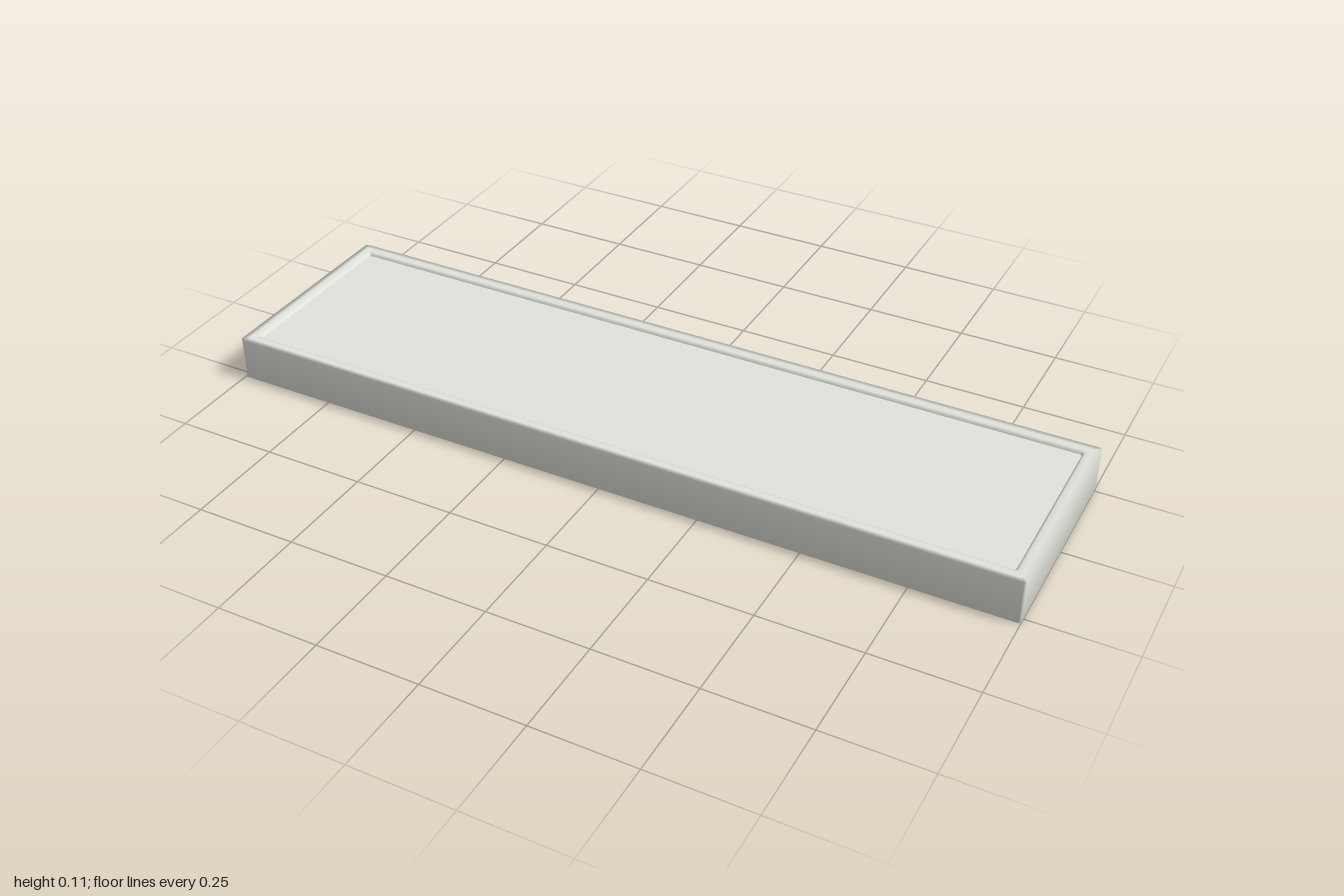
import * as THREE from 'three';
import { mergeGeometries } from 'three/addons/utils/BufferGeometryUtils.js';

const HALF_X = 1, HALF_Z = 0.2675;

// Sweeps [inset, height] points round the rectangle; normals blend, longer steps weighing more.
function sweepFrame(profile, clip = 0.005) {
  const pos = [], normal = [], index = [], n = 8, last = profile.length - 1;
  profile.forEach(([inset, y], i) => {
    const a = HALF_X - inset, b = HALF_Z - inset, c = clip;
    const before = profile[Math.max(i - 1, 0)], after = profile[Math.min(i + 1, last)];
    const blend = new THREE.Vector2(after[1] - before[1], after[0] - before[0]).normalize();
    // x, z and the outward direction at each corner of the loop
    const loop = [
      [a, b - c, 1, 0], [a, c - b, 1, 0], [a - c, -b, 0, -1], [c - a, -b, 0, -1],
      [-a, c - b, -1, 0], [-a, b - c, -1, 0], [c - a, b, 0, 1], [a - c, b, 0, 1],
    ];
    for (const [x, z, ox, oz] of loop) {
      pos.push(x, y, z);
      normal.push(ox * blend.x, blend.y, oz * blend.x);
    }
  });
  for (let i = 0; i < last; i++) {
    for (let j = 0; j < n; j++) {
      const p = i * n + j, q = i * n + (j + 1) % n;
      index.push(p, q, q + n, p, q + n, p + n);
    }
  }
  const g = new THREE.BufferGeometry();
  g.setAttribute('position', new THREE.Float32BufferAttribute(pos, 3));
  g.setAttribute('normal', new THREE.Float32BufferAttribute(normal, 3));
  g.setIndex(index);
  return g;
}

function slab(inset, y0, y1) {
  return new THREE.BoxGeometry(2 * (HALF_X - inset), y1 - y0, 2 * (HALF_Z - inset))
    .translate(0, (y0 + y1) / 2, 0);
}

export function createModel() {
  const shell = new THREE.MeshStandardMaterial({ color: 0xe3e3dd });
  shell.name = 'pale grey';
  const model = new THREE.Group();
  model.name = 'slabPanel';
  const add = (name, geometry) => {
    const mesh = new THREE.Mesh(geometry, shell);
    mesh.name = name;
    model.add(mesh);
  };

  // Outer frame: stepped lower lip, side walls and raised upper rim
  add('frame', sweepFrame([
    [0.055, 0.022], [0.055, 0.005], [0.042, 0.005], [0.028, 0.005], [0.028, 0],
    [0, 0], [0, 0.108], [0.014, 0.108], [0.028, 0.108], [0.034, 0.105], [0.036, 0.096],
  ]));

  // Recessed top panel
  add('topPanel', slab(0.034, 0.04, 0.1));

  // Recessed underside with a square grille
  add('grilleBacking', slab(0.05, 0.02, 0.035));
  const nx = 36, nz = 9, bar = 0.009;
  const w = 2 * (HALF_X - 0.055), d = 2 * (HALF_Z - 0.055);
  const bars = [];
  for (let i = 0; i <= nx; i++) {
    bars.push(new THREE.BoxGeometry(bar, 0.007, d).translate((i / nx - 0.5) * (w - bar), 0.0175, 0));
  }
  for (let i = 0; i <= nz; i++) {
    bars.push(new THREE.BoxGeometry(w, 0.007, bar).translate(0, 0.0172, (i / nz - 0.5) * (d - bar)));
  }
  add('grilleBars', mergeGeometries(bars));
  return model;
}
